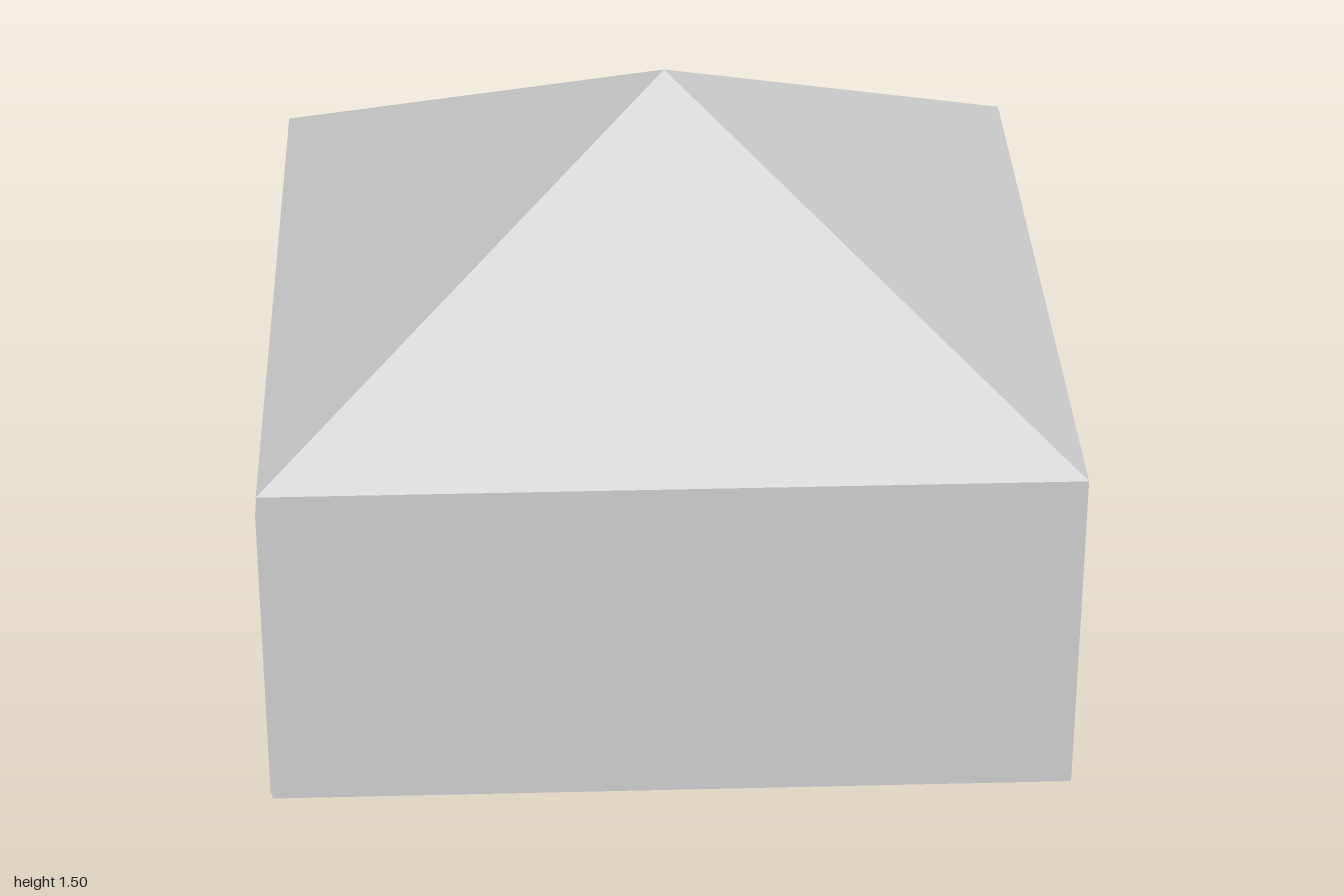
import * as THREE from 'three';

const material = new THREE.MeshStandardMaterial({ color: 0xcccccc, flatShading: true });

const EAVES = 0.88;    // where the roof slopes start
const CEILING = 0.82;  // underside of the roof slab
const T = 0.053;       // wall thickness
const X = 0.99;        // half width of the roof

// Box given by its two opposite corners
function block(name, [x0, y0, z0], [x1, y1, z1]) {
  const mesh = new THREE.Mesh(new THREE.BoxGeometry(x1 - x0, y1 - y0, z1 - z0), material);
  mesh.position.set((x0 + x1) / 2, (y0 + y1) / 2, (z0 + z1) / 2);
  mesh.name = name;
  return mesh;
}

// Side wall outline (drawn along -z) with a doorway notch, pushed out along x
function doorWall() {
  const end = 1 - T;
  const outline = [
    [-end, 0.006], [-0.14, 0.006], [-0.14, 0.35], [0.065, 0.35],
    [0.065, 0], [end, 0], [end, CEILING], [-end, CEILING],
  ].map(([u, y]) => new THREE.Vector2(u, y));
  const geometry = new THREE.ExtrudeGeometry(new THREE.Shape(outline), { depth: T, bevelEnabled: false });
  const mesh = new THREE.Mesh(geometry, material);
  mesh.rotation.y = Math.PI / 2;
  mesh.position.x = X - T;
  mesh.name = 'doorWall';
  return mesh;
}

// Four-sided hipped roof with its peak slightly off centre
function roofSlopes() {
  const height = 1.5 - EAVES;
  const geometry = new THREE.CylinderGeometry(0, Math.SQRT2, height, 4, 1, true);
  geometry.rotateY(Math.PI / 4);
  geometry.scale(X, 1, 1);
  const p = geometry.attributes.position;
  for (let i = 0; i < p.count; i++) {
    if (p.getY(i) > 0) p.setX(i, 0.015);
  }
  geometry.computeVertexNormals();
  const mesh = new THREE.Mesh(geometry, material);
  mesh.position.y = EAVES + height / 2;
  mesh.name = 'roofSlopes';
  return mesh;
}

export function createModel() {
  const house = new THREE.Group();
  house.name = 'house';

  // Walls around an open floor
  house.add(
    block('frontWall', [-X, 0.006, 1 - T], [X, CEILING, 1]),
    block('backWall', [-X + T, 0, -1], [X, CEILING, -1 + T]),
    block('plainSideWall', [-X - 0.006, 0, -1], [-X + T, CEILING, 0.97]),
    doorWall(),
  );

  // Roof: flat slab forming the ceiling, slopes on top
  const roof = new THREE.Group();
  roof.name = 'roof';
  roof.add(block('roofSlab', [-X, CEILING, -1], [X, EAVES, 1]), roofSlopes());
  house.add(roof);

  return house;
}
